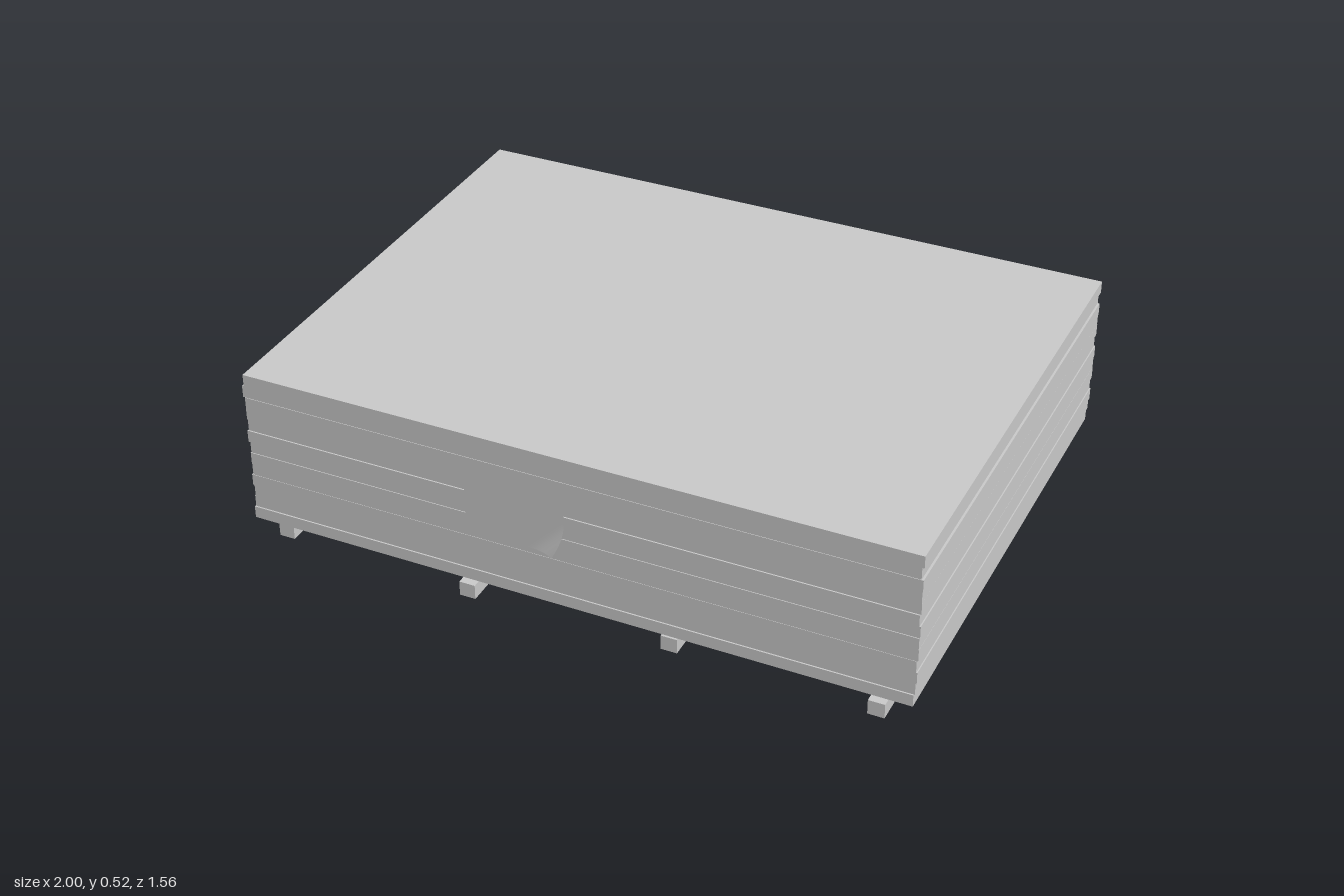
import * as THREE from 'three';

export function createModel() {
  const group = new THREE.Group();
  const grey = new THREE.MeshStandardMaterial({ color: 0xcccccc });
  const paper = new THREE.MeshStandardMaterial({ color: 0xcccccc, side: THREE.DoubleSide });

  const add = (name, geometry, x, y, z, material = grey) => {
    const mesh = new THREE.Mesh(geometry, material);
    mesh.name = name;
    mesh.position.set(x, y, z);
    group.add(mesh);
    return mesh;
  };

  // Seeded jitter in -1..1
  let seed = 7;
  const jitter = () => {
    seed = (seed * 16807) % 2147483647;
    return (seed / 2147483647) * 2 - 1;
  };

  // Battens under the stack: x, back z, front z, slight yaw
  const base = 0.045;
  [
    [-0.905, -0.78, 0.725, 0.003],
    [-0.303, -0.763, 0.755, 0.002],
    [0.3, -0.763, 0.738, 0.003],
    [0.903, -0.78, 0.755, -0.002],
  ].forEach(([x, back, front, yaw], i) => {
    add(`batten${i + 1}`, new THREE.BoxGeometry(0.048, base, front - back), x, base / 2, (front + back) / 2)
      .rotation.y = yaw;
  });

  // Stack of boards, each shifted by a hair
  const count = 13, thick = 0.48 / count;
  for (let i = 0; i < count; i++) {
    add(`board${i + 1}`, new THREE.BoxGeometry(1.992, thick, 1.484),
      jitter() * 0.004, base + thick * (i + 0.5), -0.013 + jitter() * 0.003);
  }

  // Paper sheet on the front with its lower corner curling outward
  const w = 0.3, h = 0.22;
  const sheet = new THREE.PlaneGeometry(w, h, 24, 20);
  const pos = sheet.attributes.position;
  for (let i = 0; i < pos.count; i++) {
    const x = pos.getX(i), y = pos.getY(i);
    const toCorner = (w / 2 - x) + (y + h / 2);
    const curl = Math.max(0, 1 - toCorner / 0.11);
    pos.setXYZ(i, x - 0.018 * curl * curl, y + 0.018 * curl * curl, 0.044 * curl * curl);
  }
  sheet.computeVertexNormals();
  add('paperSheet', sheet, -0.155, 0.325, 0.736, paper);

  return group;
}
